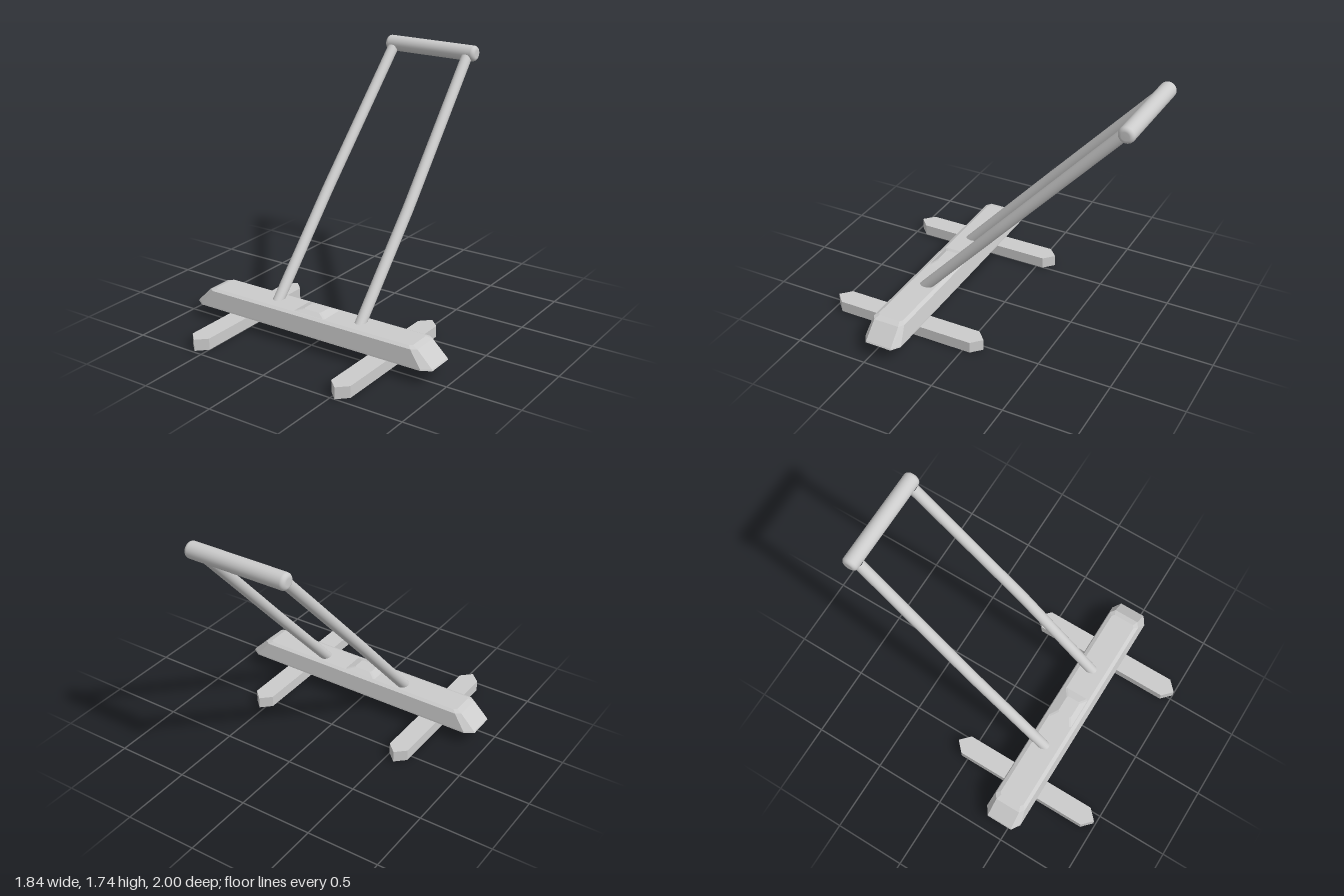
import * as THREE from 'three';

const flat = new THREE.MeshStandardMaterial({ color: 0xcccccc, flatShading: true });
const smooth = new THREE.MeshStandardMaterial({ color: 0xcccccc });

// Rectangle with chamfered corners at height y, counter-clockwise from above.
function ring(hx, z0, z1, cx, cz, y) {
  return [
    [hx, y, z1 - cz], [hx, y, z0 + cz], [hx - cx, y, z0], [cx - hx, y, z0],
    [-hx, y, z0 + cz], [-hx, y, z1 - cz], [cx - hx, y, z1], [hx - cx, y, z1],
  ];
}

// Skin through equal-sized rings, closed by a flat face at each end.
function loft(rings) {
  const n = rings[0].length, last = (rings.length - 1) * n, index = [];
  for (let r = 0; r < rings.length - 1; r++) {
    for (let i = 0; i < n; i++) {
      const a = r * n + i, b = r * n + (i + 1) % n;
      index.push(a, b, b + n, a, b + n, a + n);
    }
  }
  for (let i = 1; i < n - 1; i++) index.push(0, i + 1, i, last, last + i, last + i + 1);
  const g = new THREE.BufferGeometry();
  g.setAttribute('position', new THREE.Float32BufferAttribute(rings.flat(2), 3));
  g.setIndex(index);
  const out = g.toNonIndexed();
  out.computeVertexNormals();
  return out;
}

export function createModel() {
  const model = new THREE.Group();
  model.name = 'pushFrame';
  const add = (name, geometry, material) => {
    const mesh = new THREE.Mesh(geometry, material);
    mesh.name = name;
    model.add(mesh);
    return mesh;
  };

  // Bevelled crossbar with a hollow underside
  add('crossbar', loft([
    ring(0.78, 0.36, 0.52, 0.04, 0.02, 0.17),
    ring(0.87, 0.335, 0.54, 0.05, 0.03, 0.095),
    ring(0.92, 0.305, 0.572, 0.06, 0.04, 0.095),
    ring(0.915, 0.306, 0.571, 0.06, 0.04, 0.105),
    ring(0.81, 0.325, 0.555, 0.035, 0.025, 0.208),
    ring(0.77, 0.35, 0.53, 0.02, 0.015, 0.22),
  ]), flat);

  // Raised pad in the middle of the crossbar
  add('centrePad', loft([
    ring(0.12, 0.35, 0.525, 0.01, 0.01, 0.21),
    ring(0.12, 0.35, 0.525, 0.01, 0.01, 0.22),
    ring(0.065, 0.39, 0.49, 0.01, 0.01, 0.238),
  ]), flat);

  // Ground runners, pointed at both ends
  for (const [name, x, z0, z1] of [['rightRunner', -0.567, -0.115, 0.985], ['leftRunner', 0.532, -0.12, 1]]) {
    const h = 0.069, p = 0.066;
    const outline = (y) => [
      [x + h, y, z1 - p], [x + h, y, z0 + p], [x, y, z0],
      [x - h, y, z0 + p], [x - h, y, z1 - p], [x, y, z1],
    ];
    add(name, loft([outline(0), outline(0.078)]), flat);
  }

  // Slightly bent, backward-leaning poles
  for (const [name, low, mid, top] of [['rightPole', -0.317, -0.317, -0.296], ['leftPole', 0.33, 0.328, 0.292]]) {
    const path = new THREE.CurvePath();
    const pts = [
      new THREE.Vector3(low, 0.19, 0.445),
      new THREE.Vector3(mid, 0.82, -0.135),
      new THREE.Vector3(top, 1.66, -0.912),
    ];
    path.add(new THREE.LineCurve3(pts[0], pts[1]));
    path.add(new THREE.LineCurve3(pts[1], pts[2]));
    add(name, new THREE.TubeGeometry(path, 24, 0.037, 20), smooth);
  }

  // Handle roller with rounded ends
  const half = 0.354, r = 0.054, round = 0.028, profile = [new THREE.Vector2(0, -half)];
  for (const s of [-1, 1]) {
    for (let i = 0; i <= 6; i++) {
      const a = (s < 0 ? i : 6 - i) / 6 * Math.PI / 2;
      profile.push(new THREE.Vector2(
        r - round + Math.sin(a) * round,
        s * (half - round + Math.cos(a) * round)));
    }
  }
  profile.push(new THREE.Vector2(0, half));
  const handle = add('handle', new THREE.LatheGeometry(profile, 32), smooth);
  handle.rotation.z = Math.PI / 2;
  handle.position.set(0, 1.685, -0.945);

  return model;
}
